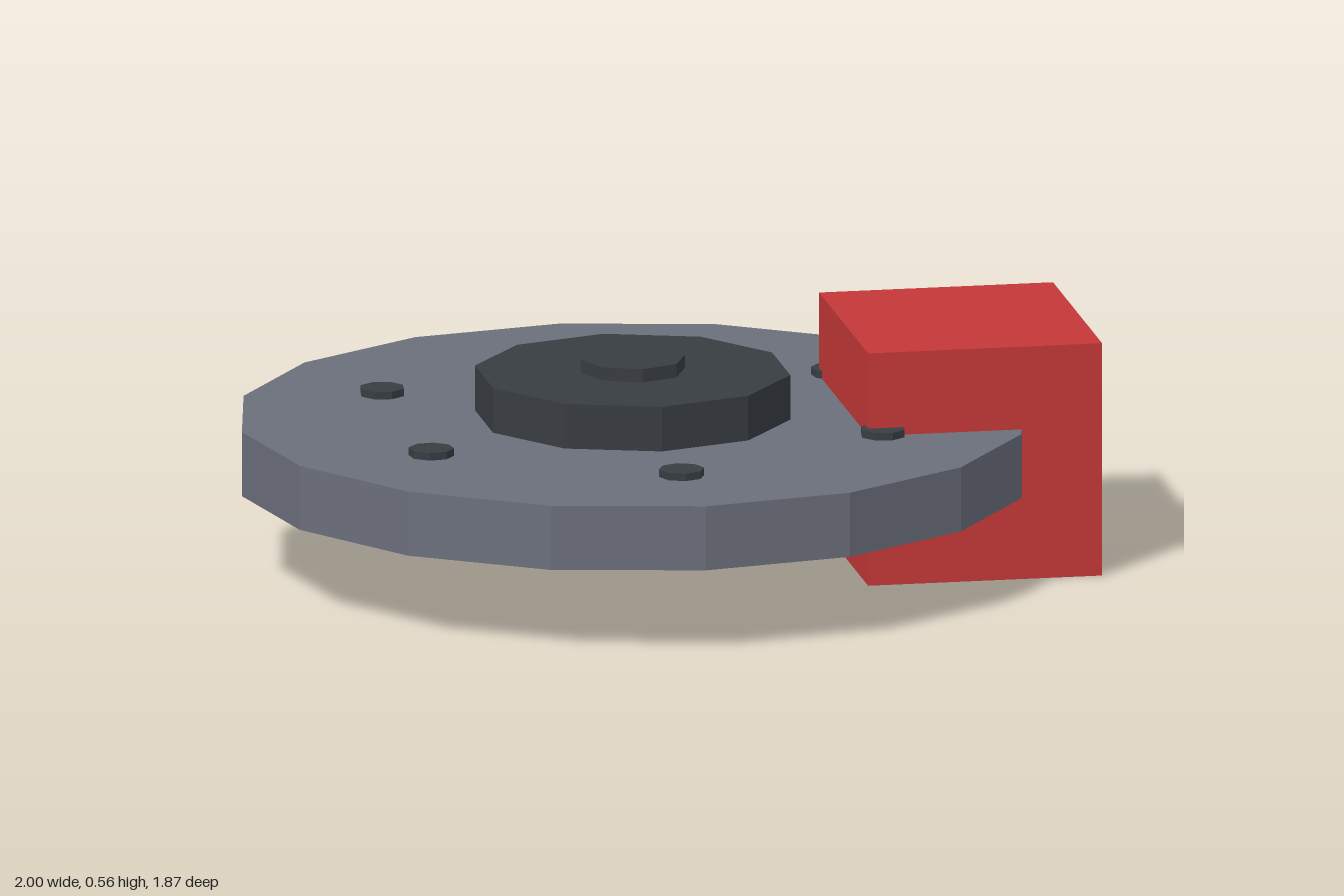
import * as THREE from 'three';

const discSteel = new THREE.MeshStandardMaterial({ color: 0x6b6f7b, flatShading: true });
discSteel.name = 'discSteel';
const darkMetal = new THREE.MeshStandardMaterial({ color: 0x383d43, flatShading: true });
darkMetal.name = 'darkMetal';
const caliperRed = new THREE.MeshStandardMaterial({ color: 0xc43737, flatShading: true });
caliperRed.name = 'caliperRed';

// Upright prism spanning y0 to y1
function prism(name, radius, y0, y1, sides, material) {
  const mesh = new THREE.Mesh(new THREE.CylinderGeometry(radius, radius, y1 - y0, sides), material);
  mesh.name = name;
  mesh.position.y = (y0 + y1) / 2;
  return mesh;
}

export function createModel() {
  const model = new THREE.Group();
  model.name = 'brakeDisc';

  // Disc, hub and axle cap share one axis
  const rotor = new THREE.Group();
  rotor.name = 'rotor';
  rotor.position.x = -0.065;
  rotor.add(
    prism('disc', 0.935, 0.207, 0.362, 16, discSteel),
    prism('hub', 0.374, 0.1, 0.47, 10, darkMetal),
    prism('axleCap', 0.125, 0.45, 0.502, 8, darkMetal),
  );

  // Ring of six bolts
  for (let i = 0; i < 6; i++) {
    const angle = Math.PI / 6 + (i * Math.PI) / 3;
    const bolt = prism('bolt', 0.054, 0.34, 0.38, 8, darkMetal);
    bolt.position.x = Math.cos(angle) * 0.624;
    bolt.position.z = Math.sin(angle) * 0.624;
    bolt.rotation.y = -angle + Math.PI / 2;
    rotor.add(bolt);
  }
  model.add(rotor);

  // Caliper block straddling the disc edge
  const caliper = new THREE.Mesh(new THREE.BoxGeometry(0.56, 0.562, 0.624), caliperRed);
  caliper.name = 'caliper';
  caliper.position.set(0.72, 0.281, 0);
  model.add(caliper);

  return model;
}
